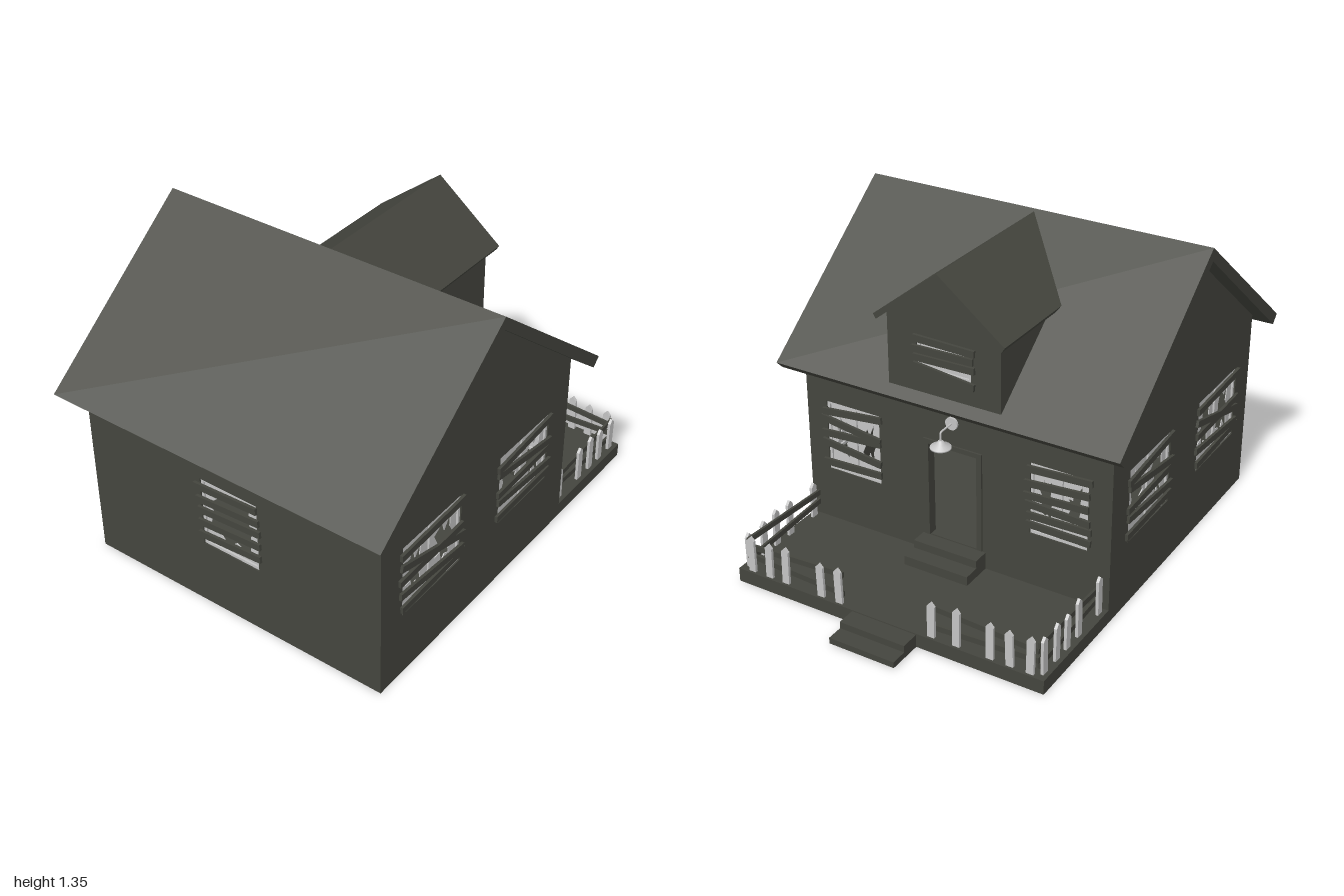
import * as THREE from 'three';

const material = (name, color) => {
  const m = new THREE.MeshStandardMaterial({ color });
  m.name = name;
  return m;
};

// Seeded random for the broken glass and uneven pickets
let seed = 11;
const rand = (a, b) => {
  seed = (seed * 16807) % 2147483647;
  return a + (b - a) * (seed / 2147483647);
};

const rect = (u0, u1, y0, y1) => [[u0, y0], [u1, y0], [u1, y1], [u0, y1]];
const vecs = pts => pts.map(p => new THREE.Vector2(p[0], p[1]));

export function createModel() {
  const house = new THREE.Group();
  house.name = 'abandonedHouse';
  const dark = material('darkWeatheredWood', 0x44453e);
  const pale = material('paleGrey', 0xc4c4c4);

  const add = (parent, name, geo, mat, x = 0, y = 0, z = 0) => {
    const m = new THREE.Mesh(geo, mat);
    m.name = name;
    m.position.set(x, y, z);
    parent.add(m);
    return m;
  };
  const box = (parent, name, mat, x0, x1, y0, y1, z0, z1) =>
    add(parent, name, new THREE.BoxGeometry(x1 - x0, y1 - y0, z1 - z0), mat,
      (x0 + x1) / 2, (y0 + y1) / 2, (z0 + z1) / 2);
  // Flat plate with holes; its front is at z, its back at z - depth
  const plate = (parent, name, mat, pts, holes, depth, z = 0) => {
    const s = new THREE.Shape(vecs(pts));
    holes.forEach(h => s.holes.push(new THREE.Path(vecs(h))));
    const geo = new THREE.ExtrudeGeometry(s, { depth, bevelEnabled: false });
    return add(parent, name, geo, mat, 0, 0, z - depth);
  };
  // Local plane: x along the wall, z pointing outwards
  const plane = (name, turn, x, z) => {
    const g = new THREE.Group();
    g.name = name;
    g.rotation.y = turn;
    g.position.set(x, 0, z);
    house.add(g);
    return g;
  };
  // Straight plank between two points of a plane
  const plank = (parent, name, u0, y0, u1, y1, h, d, z) => {
    const m = add(parent, name, new THREE.BoxGeometry(Math.hypot(u1 - u0, y1 - y0), h, d), dark,
      (u0 + u1) / 2, (y0 + y1) / 2, z);
    m.rotation.z = Math.atan2(y1 - y0, u1 - u0);
  };

  // Jagged hole left in a pane
  const jagged = (u0, u1, y0, y1, lo, hi) => {
    const pts = [];
    for (let i = 0; i < 14; i++) {
      const a = (i / 14) * Math.PI * 2;
      const c = Math.cos(a), s = Math.sin(a);
      const r = (i % 2 ? rand(lo, (lo + hi) / 2) : rand((lo + hi) / 2, hi)) / Math.max(Math.abs(c), Math.abs(s));
      pts.push([(u0 + u1) / 2 + c * r * (u1 - u0) / 2, (y0 + y1) / 2 + s * r * (y1 - y0) / 2]);
    }
    return pts;
  };

  // Broken window: frame, shattered panes and nailed boards [left y, right y]
  const addWindow = (wall, [u0, u1, y0, y1], boards, panes = 2, lo = 0.25, hi = 0.9) => {
    const w = 0.012, step = (u1 - u0) / panes;
    const openings = [];
    for (let i = 0; i < panes; i++)
      openings.push([u0 + i * step + w, u0 + (i + 1) * step - w, y0 + w, y1 - w]);
    plate(wall, 'windowFrame', pale, rect(u0, u1, y0, y1), openings.map(o => rect(...o)), 0.02, -0.006);
    openings.forEach(o => plate(wall, 'brokenGlass', pale, rect(...o), [jagged(...o, lo, hi)], 0.004, -0.014));
    boards.forEach(([a, b]) => {
      const k = rand(-0.008, 0.008);
      plank(wall, 'windowBoard', u0 - 0.018 + k, a, u1 + 0.012 + k, b, 0.029, 0.012, 0.006);
    });
  };

  const T = 0.035;
  const leftBoards = [[0.575, 0.59], [0.525, 0.42], [0.46, 0.47], [0.395, 0.36], [0.325, 0.34]];
  const rightBoards = [[0.56, 0.595], [0.535, 0.48], [0.44, 0.455], [0.4, 0.375], [0.325, 0.335]];

  // Gable walls, each with two windows
  [1, -1].forEach(s => {
    const wall = plane(s > 0 ? 'frontGable' : 'backGable', s > 0 ? 0 : Math.PI, 0, s * 0.695);
    const flip = (a, b) => (s > 0 ? [a, b] : [-b, -a]);
    const wins = [[...flip(-0.77, -0.4), 0.29, 0.61], [...flip(-0.14, 0.21), 0.29, 0.61]];
    plate(wall, 'gableWall', dark,
      [[-0.9, 0], [0.35, 0], [0.35, 0.82], [-0.275, 1.31], [-0.9, 0.82]].map(p => [p[0] * s, p[1]]),
      wins.map(w => rect(...w)), T);
    addWindow(wall, wins[0], leftBoards);
    addWindow(wall, wins[1], rightBoards);
  });

  // Porch wall: doorway between two windows
  const half = 0.695 - T;
  const porchWall = plane('porchWall', Math.PI / 2, 0.35, 0);
  const pWins = [[-0.6, -0.345, 0.295, 0.61], [0.345, 0.595, 0.295, 0.61]];
  plate(porchWall, 'wall', dark, rect(-half, half, 0, 0.81),
    [...pWins.map(w => rect(...w)), rect(-0.11, 0.11, 0.14, 0.56)], T);
  addWindow(porchWall, pWins[0], [[0.565, 0.595], [0.535, 0.495], [0.465, 0.485], [0.425, 0.39], [0.33, 0.34]], 2, 0.2, 0.75);
  addWindow(porchWall, pWins[1], [[0.585, 0.6], [0.52, 0.54], [0.465, 0.48], [0.43, 0.42], [0.38, 0.385], [0.34, 0.335]], 2, 0.2, 0.75);
  box(porchWall, 'doorJamb', dark, -0.133, -0.11, 0.14, 0.58, -0.01, 0.008);
  box(porchWall, 'doorJamb', dark, 0.11, 0.133, 0.14, 0.58, -0.01, 0.008);
  box(porchWall, 'doorLintel', dark, -0.11, 0.11, 0.56, 0.58, -0.01, 0.008);
  box(porchWall, 'openDoor', dark, 0.112, 0.127, 0.14, 0.56, -0.25, -T);

  // Rear wall with a single large window
  const rearWall = plane('rearWall', -Math.PI / 2, -0.9, 0);
  const rWin = [-0.135, 0.135, 0.295, 0.61];
  plate(rearWall, 'wall', dark, rect(-half, half, 0, 0.81), [rect(...rWin)], T);
  addWindow(rearWall, rWin, [[0.575, 0.59], [0.515, 0.535], [0.465, 0.485], [0.405, 0.425], [0.345, 0.365]], 1, 0.55, 0.95);

  box(house, 'floor', dark, -0.9 + T, 0.35 - T, 0, 0.135, -half, half);

  // Main roof
  plate(house, 'mainRoof', dark,
    [[-1, 0.78], [-0.965, 0.745], [-0.275, 1.29], [0.41, 0.745], [0.445, 0.78], [-0.275, 1.345]], [], 1.53, 0.765);

  // Dormer
  const dormer = plane('dormer', Math.PI / 2, 0.405, 0);
  const dWin = [-0.12, 0.12, 0.905, 1.04];
  plate(dormer, 'dormerWall', dark, [[-0.25, 0.813], [0.25, 0.813], [0.25, 1.115], [0, 1.315], [-0.25, 1.115]],
    [rect(...dWin)], 0.03);
  addWindow(dormer, dWin, [[1.04, 1.035], [0.995, 1.0], [0.96, 0.965], [0.925, 0.895]], 1, 0.15, 0.5);
  [-1, 1].forEach(s =>
    box(dormer, 'dormerSide', dark, s * 0.235 - 0.015, s * 0.235 + 0.015, 0.813, 1.113, -0.42, -0.03));
  plate(dormer, 'dormerRoof', dark,
    [[-0.287, 1.112], [-0.275, 1.092], [0, 1.312], [0.275, 1.092], [0.287, 1.112], [0, 1.337]], [], 0.71, 0.037);

  // Porch deck and steps
  box(house, 'porchDeck', dark, 0.35, 0.85, 0, 0.06, -0.695, 0.695);
  [[0.35, 0.49, 0.06, 0.1], [0.35, 0.42, 0.1, 0.135], [0.85, 0.93, 0, 0.055], [0.93, 1, 0, 0.026]]
    .forEach(([x0, x1, y0, y1]) => box(house, 'step', dark, x0, x1, y0, y1, -0.146, 0.146));

  // Fence runs: pointed pickets on crooked rails
  const fence = (g, us, u0, u1, tilt) => {
    us.forEach(u => {
      const h = rand(0.15, 0.17), w = 0.016;
      const p = plate(g, 'picket', pale, [[-w, 0], [w, 0], [w, h - 0.018], [0, h], [-w, h - 0.018]], [], 0.012, 0.012);
      p.position.set(u, 0.06, 0);
      p.rotation.z = rand(-0.03, 0.03);
    });
    plank(g, 'fenceRail', u0, 0.11 - tilt, u1, 0.11 + tilt, 0.024, 0.01, -0.005);
    plank(g, 'fenceRail', u0, 0.175 + tilt, u1, 0.175 - tilt, 0.024, 0.01, -0.005);
  };
  const sidePickets = [0.385, 0.545, 0.635, 0.715, 0.805];
  fence(plane('sideFence', 0, 0, 0.665), sidePickets, 0.355, 0.825, -0.012);
  fence(plane('sideFence', Math.PI, 0, -0.665), sidePickets.map(x => -x), -0.825, -0.355, 0.012);
  const frontFence = plane('frontFence', Math.PI / 2, 0.828, 0);
  fence(frontFence, [-0.635, -0.55, -0.47, -0.3, -0.215], -0.66, -0.2, -0.012);
  fence(frontFence, [0.205, 0.315, 0.46, 0.545, 0.63], 0.19, 0.66, 0.012);

  // Porch lamp
  const lamp = plane('porchLamp', 0, 0.35, 0);
  const mount = add(lamp, 'lampMount', new THREE.CylinderGeometry(0.027, 0.027, 0.01, 20), pale, 0.005, 0.68, 0);
  mount.rotation.z = Math.PI / 2;
  const arm = new THREE.CurvePath();
  const v = (x, y) => new THREE.Vector3(x, y, 0);
  arm.add(new THREE.LineCurve3(v(0.005, 0.68), v(0.075, 0.68)));
  arm.add(new THREE.QuadraticBezierCurve3(v(0.075, 0.68), v(0.085, 0.68), v(0.085, 0.67)));
  arm.add(new THREE.LineCurve3(v(0.085, 0.67), v(0.085, 0.635)));
  add(lamp, 'lampArm', new THREE.TubeGeometry(arm, 24, 0.004, 8), pale);
  const shade = [[0, 0.645], [0.01, 0.643], [0.018, 0.63], [0.042, 0.618], [0.042, 0.612], [0, 0.612]];
  add(lamp, 'lampShade', new THREE.LatheGeometry(vecs(shade).reverse(), 20), pale, 0.085, 0, 0);

  return house;
}
